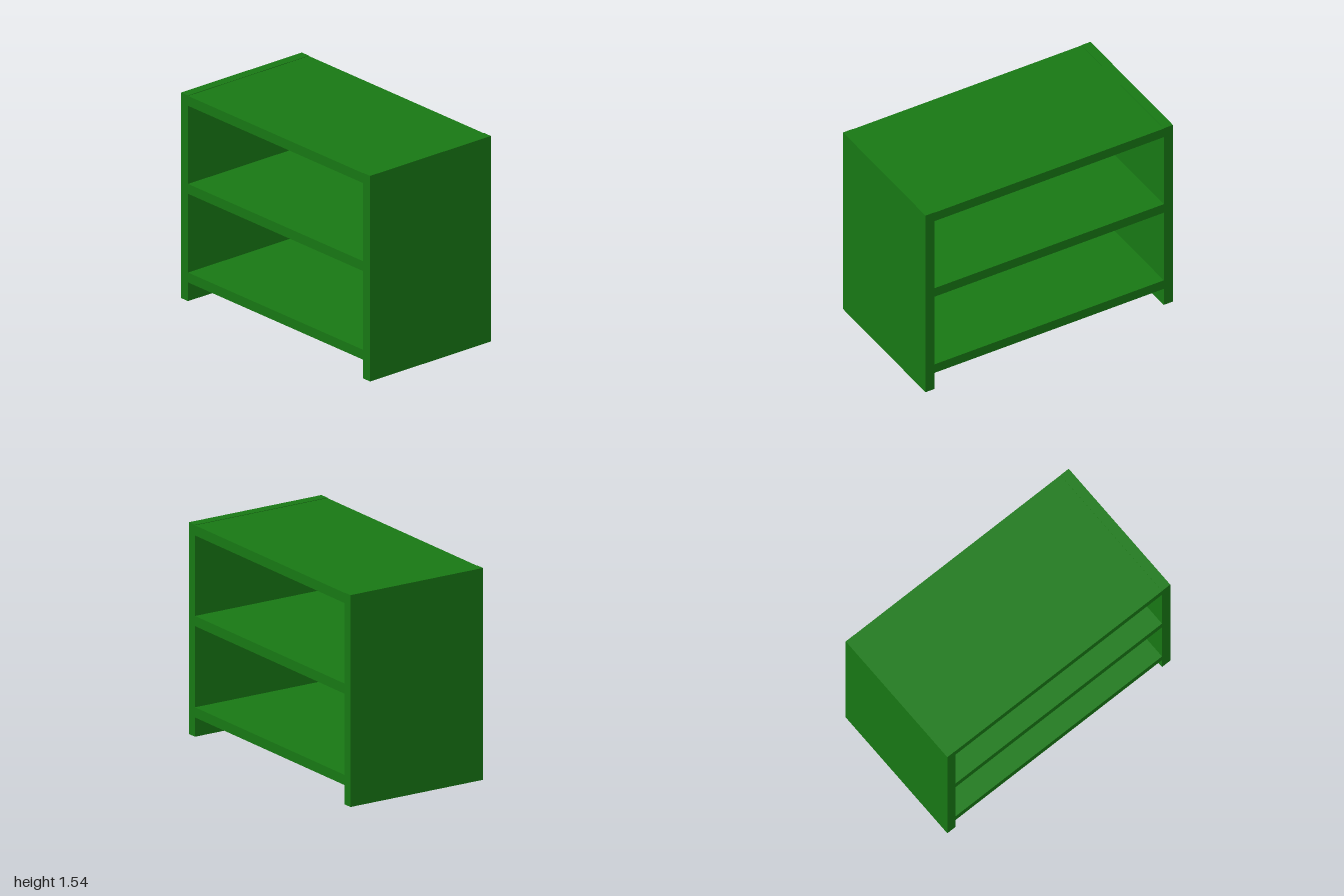
import * as THREE from 'three';

const WIDTH = 1.106, HEIGHT = 1.54, BOARD = 0.074;

export function createModel() {
  const group = new THREE.Group();
  group.name = 'openShelfUnit';
  const material = new THREE.MeshStandardMaterial({ color: 0x187814 });

  const addBoard = (name, height, depth, y, z) => {
    const mesh = new THREE.Mesh(new THREE.BoxGeometry(WIDTH, height, depth), material);
    mesh.name = name;
    mesh.position.set(0, y, z);
    group.add(mesh);
  };

  // Upright end panels reaching the floor
  for (const side of [1, -1]) {
    addBoard(side > 0 ? 'frontPanel' : 'backPanel', HEIGHT, BOARD, HEIGHT / 2, side * (1 - BOARD / 2));
  }

  // Horizontal boards between the panels, the top one just below their upper edges
  const shelves = [['bottomShelf', 0.177], ['middleShelf', 0.841], ['topBoard', 1.5]];
  for (const [name, y] of shelves) addBoard(name, BOARD, 2 - 2 * BOARD, y, 0);

  return group;
}
